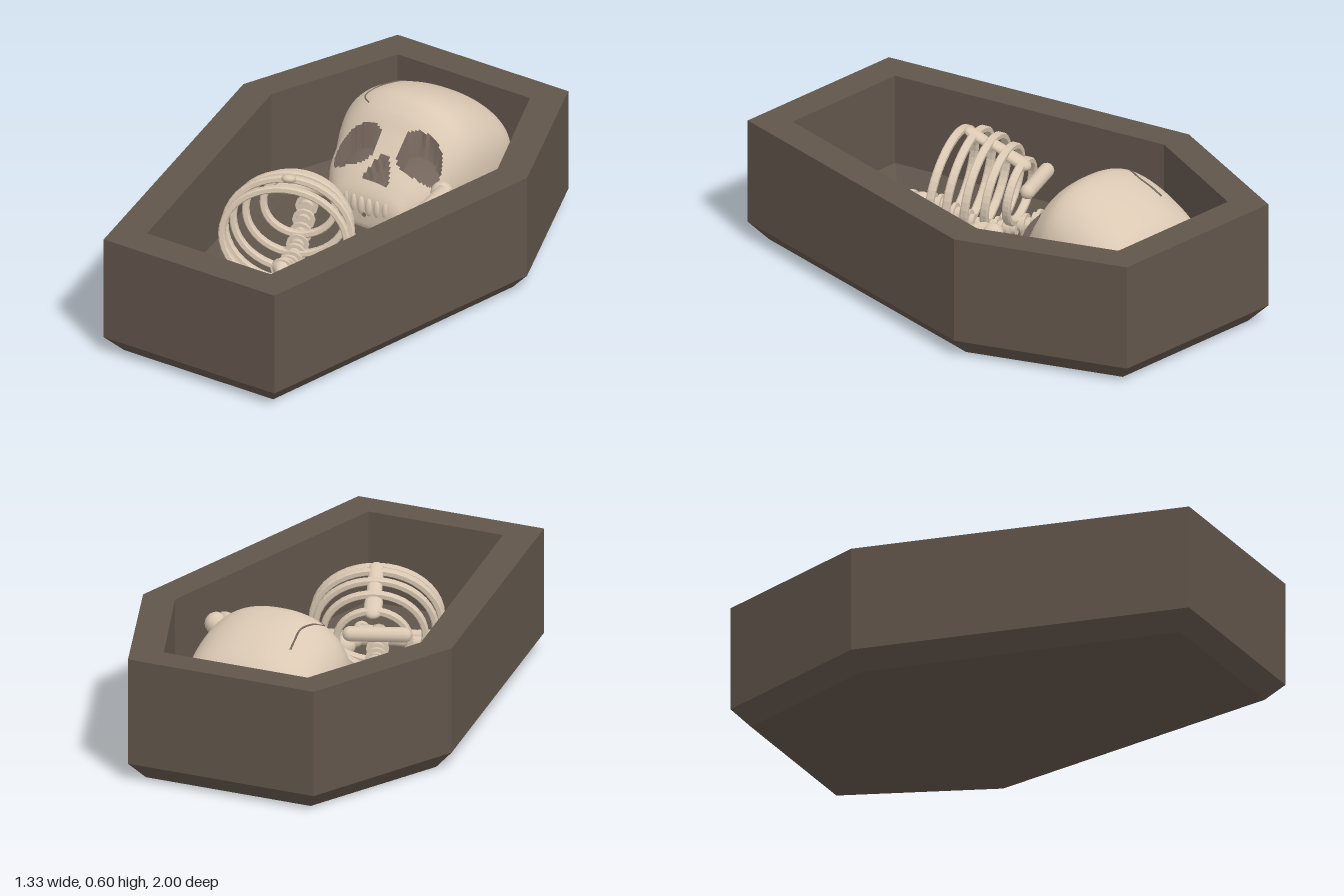
import * as THREE from 'three';
import { toCreasedNormals } from 'three/addons/utils/BufferGeometryUtils.js';

const V = (x, y, z) => new THREE.Vector3(x, y, z);
const mat = (name, color) => Object.assign(new THREE.MeshStandardMaterial({ color }), { name });

function mesh(name, geometry, material, parent) {
  const m = new THREE.Mesh(geometry, material);
  m.name = name;
  parent.add(m);
  return m;
}

// Hollow six-sided box: rings run up the outside, over the rim and down inside
function coffinGeometry() {
  const ring = (head, headZ, mid, midZ, foot, footZ, y) => [
    V(head, y, headZ), V(mid, y, midZ), V(foot, y, footZ),
    V(-foot, y, footZ), V(-mid, y, midZ), V(-head, y, headZ)];
  const rings = [
    ring(0.355, -0.935, 0.598, -0.335, 0.35, 0.935, 0),
    ring(0.4, -1, 0.665, -0.335, 0.4, 1, 0.07),
    ring(0.4, -1, 0.665, -0.335, 0.4, 1, 0.5),
    ring(0.31, -0.87, 0.53, -0.33, 0.29, 0.865, 0.5),
    ring(0.31, -0.87, 0.53, -0.33, 0.29, 0.865, 0.13),
    ring(0.26, -0.805, 0.465, -0.33, 0.235, 0.8, 0.07)];
  const tris = [];
  for (let r = 0; r < rings.length - 1; r++) {
    const A = rings[r], B = rings[r + 1];
    for (let i = 0; i < 6; i++) {
      const j = (i + 1) % 6;
      tris.push(A[i], B[i], B[j], A[i], B[j], A[j]);
    }
  }
  const under = rings[0], floor = rings[5];
  for (let i = 1; i < 5; i++) {
    tris.push(under[0], under[i], under[i + 1], floor[0], floor[i + 1], floor[i]);
  }
  const g = new THREE.BufferGeometry().setFromPoints(tris);
  g.computeVertexNormals();
  return g;
}

// Skull sections from crown to teeth: z, half width, top, bottom
const sections = [
  [-0.85, 0.01, 0.31, 0.29], [-0.843, 0.17, 0.385, 0.2], [-0.81, 0.245, 0.445, 0.14],
  [-0.74, 0.28, 0.51, 0.1], [-0.6, 0.3, 0.578, 0.08], [-0.48, 0.298, 0.6, 0.08],
  [-0.4, 0.275, 0.56, 0.09], [-0.34, 0.25, 0.49, 0.1], [-0.28, 0.235, 0.42, 0.11],
  [-0.22, 0.19, 0.355, 0.13], [-0.18, 0.14, 0.29, 0.15], [-0.172, 0.01, 0.22, 0.2]];
const upper = new THREE.CatmullRomCurve3(sections.map(s => V(s[0], s[1], s[2])), false, 'catmullrom');
const lower = new THREE.CatmullRomCurve3(sections.map(s => V(s[0], s[1], s[3])), false, 'catmullrom');
const SKULL_X = 0.012, POWER = 2.3;

function skullPoint(t, angle) {
  const u = upper.getPoint(t), l = lower.getPoint(t);
  const c = Math.cos(angle), s = Math.sin(angle);
  const bend = v => Math.sign(v) * Math.abs(v) ** (2 / POWER);
  return V(SKULL_X + u.y * bend(c), (u.z + l.z) / 2 + (u.z - l.z) / 2 * bend(s), u.x);
}

// Height of the upper skull surface at x, z
function skullTop(x, z) {
  let t = 0;
  while (t < 1 && upper.getPoint(t).x < z) t += 0.002;
  const u = upper.getPoint(t), l = lower.getPoint(t);
  const f = Math.min(1, Math.abs(x - SKULL_X) / u.y);
  return (u.z + l.z) / 2 + (u.z - l.z) / 2 * (1 - f ** POWER) ** (1 / POWER);
}

// Depth of the eye and nose hollows
function hollow(x, z) {
  const eye = (cx, cz, rx, rz) => Math.abs((x - cx) / rx) ** 2.6 + Math.abs((z - cz + 0.11 * (x - cx)) / rz) ** 2.6 < 1;
  if (eye(-0.108, -0.298, 0.085, 0.054) || eye(0.167, -0.327, 0.082, 0.054)) return 0.1;
  const down = z + 0.285;
  const side = Math.abs(x - 0.037);
  if (down > 0 && down < 0.07 && side < 0.01 + down * 0.65 && side > down * 0.22 - 0.006) return 0.05;
  return 0;
}

function skullGeometry() {
  const rows = 110, cols = 128, pos = [], sunk = [], bone = [], dark = [];
  for (let r = 0; r <= rows; r++) {
    for (let c = 0; c < cols; c++) {
      const a = c / cols * Math.PI * 2;
      const p = skullPoint(r / rows, a);
      const d = Math.sin(a) > 0.05 ? hollow(p.x, p.z) : 0;
      pos.push(p.x, p.y - d, p.z);
      sunk.push(d > 0);
    }
  }
  for (let r = 0; r < rows; r++) {
    for (let c = 0; c < cols; c++) {
      const n = (c + 1) % cols;
      const a = r * cols + c, b = r * cols + n, e = (r + 1) * cols + n, d = (r + 1) * cols + c;
      (sunk[a] || sunk[b] || sunk[e] || sunk[d] ? dark : bone).push(a, b, e, a, e, d);
    }
  }
  const g = new THREE.BufferGeometry();
  g.setAttribute('position', new THREE.Float32BufferAttribute(pos, 3));
  g.setIndex([...bone, ...dark]);
  g.addGroup(0, bone.length, 0);
  g.addGroup(bone.length, dark.length, 1);
  return toCreasedNormals(g, 0.7);
}

// Limb bone between two points, with a waisted shaft and two knobs per end
function limbBone(name, a, b, r, knob, spread, material, parent) {
  const group = new THREE.Group();
  group.name = name;
  parent.add(group);
  const dir = b.clone().sub(a), len = dir.length();
  dir.normalize();
  const profile = [[0, 0], [1.35, 0], [1.15, 0.12], [0.9, 0.3], [0.85, 0.5], [0.9, 0.7], [1.15, 0.88], [1.35, 1], [0, 1]]
    .map(([x, y]) => new THREE.Vector2(x * r, y * len));
  const shaft = mesh('shaft', new THREE.LatheGeometry(profile, 16), material, group);
  shaft.position.copy(a);
  shaft.quaternion.setFromUnitVectors(V(0, 1, 0), dir);
  const across = dir.clone().cross(V(0, 1, 0)).normalize();
  for (const end of [a, b]) {
    for (const s of [-1, 1]) {
      const k = mesh('knob', new THREE.SphereGeometry(knob, 14, 10), material, group);
      k.position.copy(end).addScaledVector(across, s * spread);
    }
  }
}

// Flat hoop for one pair of ribs
function ribGeometry(rx, ry) {
  const shape = new THREE.Shape().absellipse(0, 0, rx, ry, 0, Math.PI * 2);
  shape.holes.push(new THREE.Path().absellipse(0, 0, rx - 0.016, ry - 0.016, 0, Math.PI * 2));
  return new THREE.ExtrudeGeometry(shape, {
    depth: 0.02, curveSegments: 20, bevelSize: 0.005, bevelThickness: 0.006, bevelSegments: 1 }).translate(0, 0, -0.01);
}

export function createModel() {
  const wood = mat('dark wood', 0x61554b);
  const bone = mat('bone', 0xdac8b3);
  const shade = mat('hollow brown', 0x78695f);
  const model = new THREE.Group();
  model.name = 'coffinWithBones';

  mesh('coffin', coffinGeometry(), wood, model);

  // Skull lying face up at the wide end
  const skull = new THREE.Group();
  skull.name = 'skull';
  model.add(skull);
  mesh('cranium', skullGeometry(), [bone, shade], skull);
  const crack = [[-0.14, -0.68], [-0.135, -0.63], [-0.13, -0.57], [-0.15, -0.51], [-0.172, -0.45], [-0.13, -0.415]]
    .map(([x, z]) => V(x, skullTop(x, z), z));
  mesh('crack', new THREE.TubeGeometry(new THREE.CatmullRomCurve3(crack), 40, 0.004, 5), shade, skull);
  for (let i = 0; i < 6; i++) {
    const x = -0.075 + i * 0.036;
    const tooth = mesh('tooth', new THREE.SphereGeometry(0.02, 8, 6), bone, skull);
    tooth.position.set(x, 0.245, -0.175 - Math.abs(x - 0.015) * 0.12);
    tooth.scale.set(0.85, 2, 0.8);
  }

  // Rib cage, turned towards the left foot end
  const cage = new THREE.Group();
  cage.name = 'ribCage';
  cage.position.set(-0.08, 0.315, 0.18);
  cage.rotation.y = 0.396;
  model.add(cage);
  const ribs = [[-0.13, 0.15, 0.13], [-0.06, 0.205, 0.175], [0.01, 0.24, 0.205], [0.08, 0.258, 0.22], [0.15, 0.255, 0.212]];
  for (const [z, rx, ry] of ribs) {
    const rib = mesh('rib', ribGeometry(rx, ry), bone, cage);
    rib.position.z = z;
    rib.rotation.x = -0.12;
  }
  // Breastbone
  const plates = [[-0.12, 0.13, 0.036], [-0.04, 0.175, 0.03], [0.045, 0.207, 0.03]];
  for (const [z, y, w] of plates) {
    const plate = mesh('breastbone', new THREE.CapsuleGeometry(w, 0.05, 5, 12), bone, cage);
    plate.position.set(0, y, z);
    plate.rotation.x = Math.PI / 2 - 0.45;
    plate.scale.z = 0.6;
  }
  // Spine of short vertebrae with wider discs, ending in a point
  for (let i = 0; i < 9; i++) {
    const z = -0.27 + i * 0.058, y = -0.08 - 0.09 * Math.sin(Math.PI * i / 9);
    const body = mesh('vertebra', new THREE.CylinderGeometry(0.03, 0.03, 0.05, 12), bone, cage);
    const disc = mesh('vertebraWing', new THREE.CylinderGeometry(0.045, 0.045, 0.014, 12), bone, cage);
    for (const m of [body, disc]) {
      m.rotation.x = Math.PI / 2;
      m.position.set(0, y, z);
    }
  }
  const tip = mesh('spineTip', new THREE.ConeGeometry(0.035, 0.06, 12), bone, cage);
  tip.rotation.x = Math.PI / 2;
  tip.position.set(0, -0.1, 0.245);
  const collar = mesh('collarBone', new THREE.CapsuleGeometry(0.03, 0.21, 6, 12), bone, cage);
  collar.rotation.z = Math.PI / 2;
  collar.position.set(-0.02, 0.045, -0.195);

  // Loose limb bones
  limbBone('longBone', V(0.375, 0.38, -0.22), V(0.185, 0.14, 0.38), 0.042, 0.045, 0.04, bone, model);
  limbBone('shortBone', V(-0.13, 0.115, 0.6), V(0.175, 0.115, 0.525), 0.024, 0.033, 0.022, bone, model);
  limbBone('shortBone', V(-0.11, 0.11, 0.685), V(0.195, 0.11, 0.605), 0.024, 0.033, 0.022, bone, model);
  return model;
}
